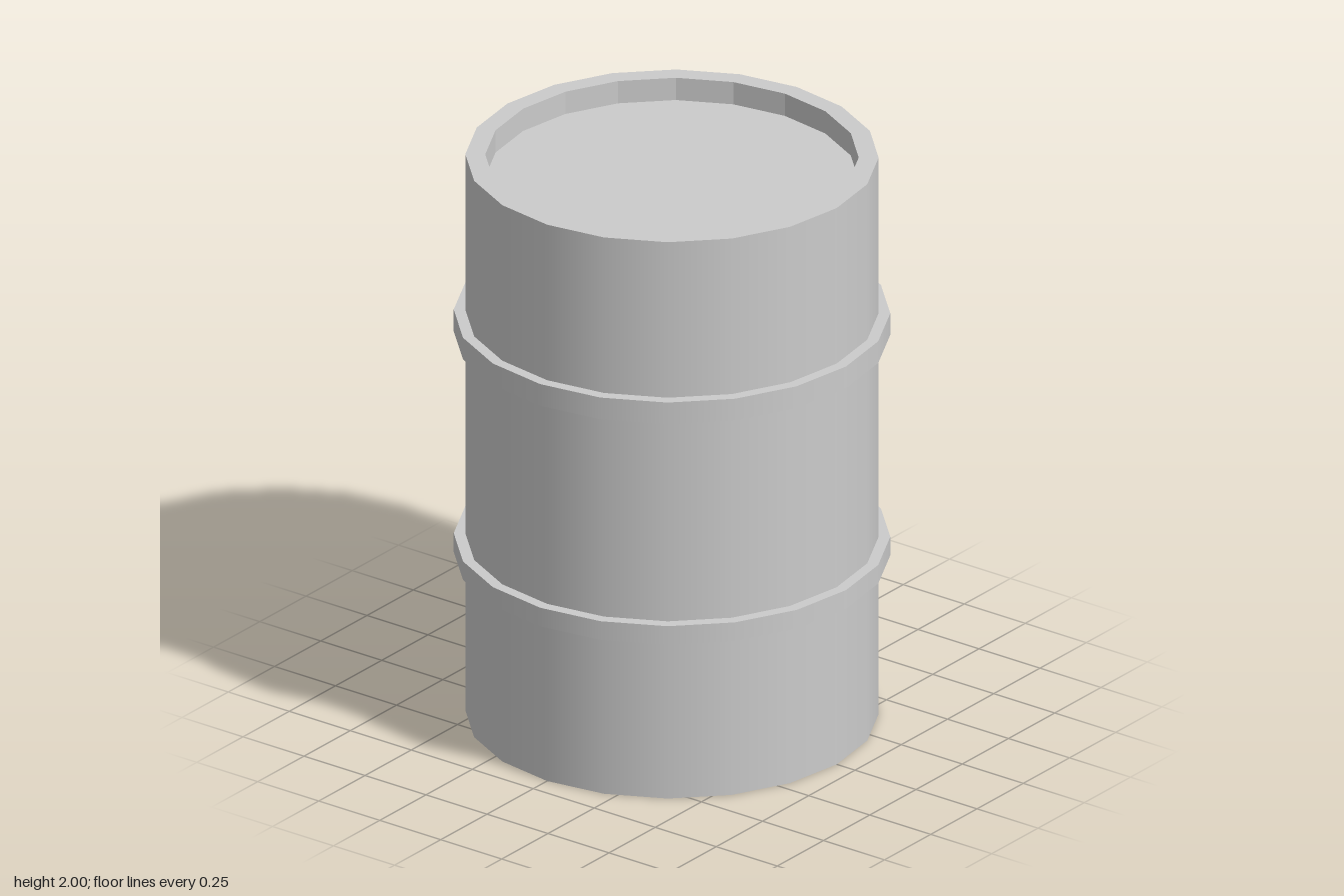
import * as THREE from 'three';
import { mergeGeometries } from 'three/addons/utils/BufferGeometryUtils.js';

const SIDES = 20;

// Revolve a profile one segment at a time: smooth around, sharp between segments.
// Segments listed in flat keep faceted normals.
function revolve(profile, flat = []) {
  const bands = [];
  for (let i = 0; i < profile.length - 1; i++) {
    const points = [profile[i], profile[i + 1]].map(([r, y]) => new THREE.Vector2(r, y));
    const band = new THREE.LatheGeometry(points, SIDES).toNonIndexed();
    if (flat.includes(i)) band.computeVertexNormals();
    bands.push(band);
  }
  return mergeGeometries(bands);
}

export function createModel() {
  const group = new THREE.Group();
  group.name = 'barrel';
  const material = new THREE.MeshStandardMaterial({ color: 0xcccccc });
  const add = (name, geometry) => {
    const mesh = new THREE.Mesh(geometry, material);
    mesh.name = name;
    group.add(mesh);
  };

  // Drum body with recessed bottom and lid, from bottom centre round to top centre
  const R = 0.675, inner = 0.61, recess = 0.08, H = 2;
  add('drumBody', revolve([
    [0, recess], [inner, recess], [inner, 0], [R, 0],
    [R, H], [inner, H], [inner, H - recess], [0, H - recess],
  ], [1, 5]));

  // Raised hoops around the body
  const hoopR = 0.713;
  for (const [name, y0, y1] of [['lowerHoop', 0.57, 0.637], ['upperHoop', 1.363, 1.441]]) {
    add(name, revolve([[R - 0.01, y0], [hoopR, y0], [hoopR, y1], [R - 0.01, y1]]));
  }
  return group;
}
